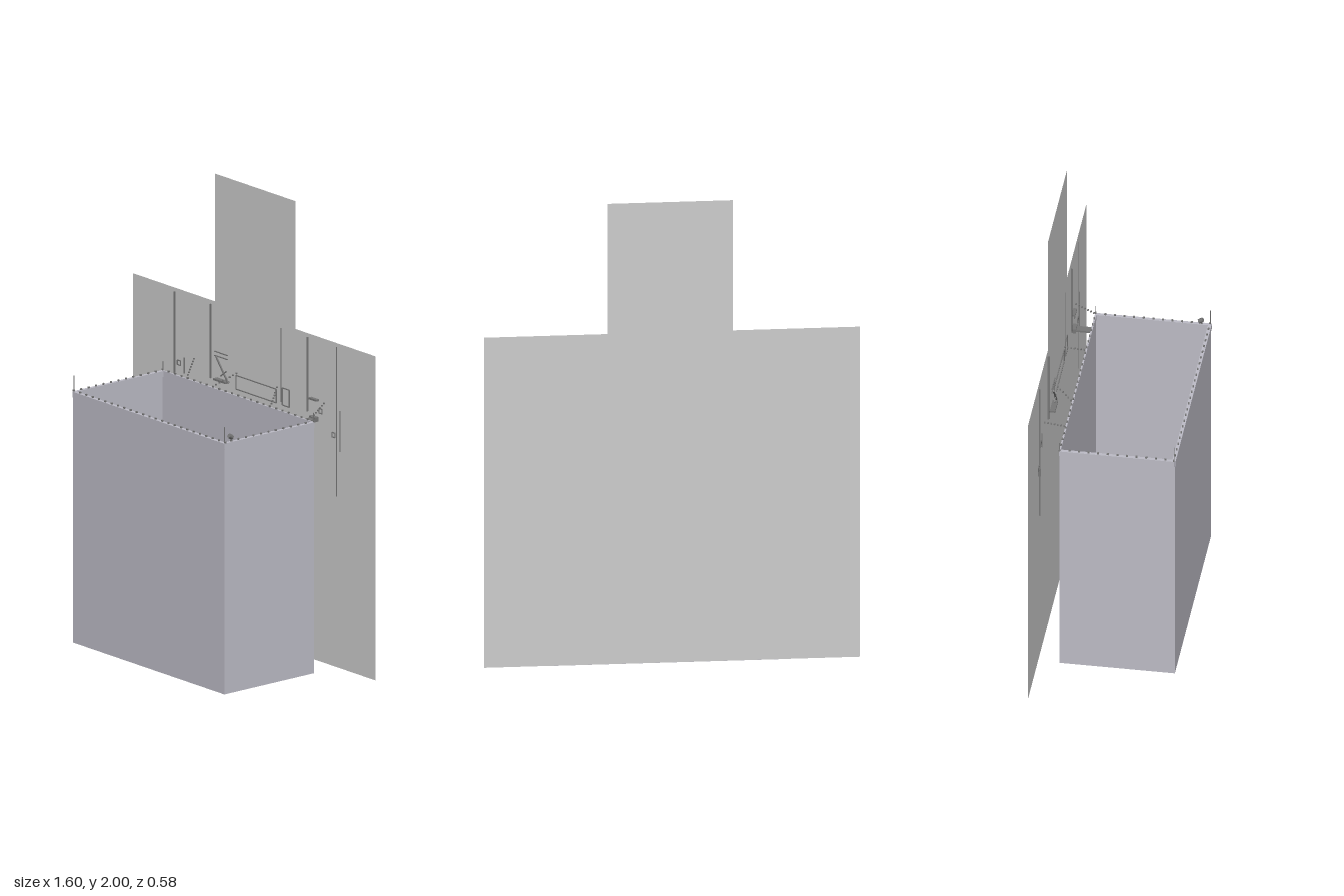
import * as THREE from 'three';

const X0 = -0.5, X1 = 0.495, Z0 = -0.203, Z1 = 0.287, PANEL_Z = -0.29;

export function createModel() {
  const model = new THREE.Group();
  const grey = new THREE.MeshStandardMaterial({ color: 0xcccccc, side: THREE.DoubleSide });
  const stone = new THREE.MeshStandardMaterial({ color: 0xbdbcc6, side: THREE.DoubleSide });
  const dark = new THREE.MeshStandardMaterial({ color: 0x777777 });

  const add = (name, geometry, material, x = 0, y = 0, z = 0) => {
    const mesh = new THREE.Mesh(geometry, material);
    mesh.name = name;
    mesh.position.set(x, y, z);
    model.add(mesh);
    return mesh;
  };
  // Box given by its two opposite corners
  const block = (name, x0, x1, y0, y1, z0, z1, material = dark) =>
    add(name, new THREE.BoxGeometry(x1 - x0, y1 - y0, z1 - z0), material,
      (x0 + x1) / 2, (y0 + y1) / 2, (z0 + z1) / 2);
  // Thin square bar between two points
  const bar = (name, a, b, t = 0.004) => {
    const from = new THREE.Vector3(...a), to = new THREE.Vector3(...b);
    const mesh = add(name, new THREE.BoxGeometry(t, t, from.distanceTo(to)), dark);
    mesh.position.copy(from).lerp(to, 0.5);
    mesh.lookAt(to);
  };
  // Upright rectangular outline
  const frame = (name, x0, x1, y0, y1, z) => {
    [[x0, y0, x1, y0], [x0, y1, x1, y1], [x0, y0, x0, y1], [x1, y0, x1, y1]]
      .forEach(([a, b, c, d]) => bar(name, [a, b, z], [c, d, z]));
  };

  // Flat stepped backdrop panel
  const outline = [[-0.8, 0.02], [0.795, 0.02], [0.795, 1.44], [0.27, 1.44],
    [0.27, 2], [-0.26, 2], [-0.26, 1.44], [-0.8, 1.44]].map(p => new THREE.Vector2(...p));
  add('backPanel', new THREE.ShapeGeometry(new THREE.Shape(outline)), grey, 0, 0, PANEL_Z);

  // Tower: four thin walls, open above and below
  const H = 1.08, w = X1 - X0, d = Z1 - Z0, cx = (X0 + X1) / 2, cz = (Z0 + Z1) / 2;
  for (const side of [1, -1]) {
    const wide = add(side > 0 ? 'frontWall' : 'backWall', new THREE.PlaneGeometry(w, H), stone,
      cx, H / 2, cz + side * d / 2);
    wide.rotation.y = side > 0 ? 0 : Math.PI;
    const end = add(side > 0 ? 'leftWall' : 'rightWall', new THREE.PlaneGeometry(d, H), stone,
      cx + side * w / 2, H / 2, cz);
    end.rotation.y = side * Math.PI / 2;
  }

  // Rim around the open top
  const t = 0.012;
  block('frontRim', X0, X1, 1.075, 1.1, Z1 - t, Z1 + 0.003, stone);
  block('backRim', X0, X1, 1.075, 1.1, Z0 - 0.003, Z0 + 0.004, stone);
  block('rightRim', X0 - 0.003, X0 + t, 1.075, 1.1, Z0, Z1, stone);
  block('leftRim', X1 - t, X1 + 0.003, 1.075, 1.1, Z0, Z1, stone);

  // Low studs along the rim and tall corner pins
  for (let i = 0; i <= 24; i++) {
    const x = X0 + w * i / 24;
    for (const z of [Z0, Z1 - 0.005]) block('rimStud', x - 0.004, x + 0.004, 1.1, 1.107, z - 0.003, z + 0.003);
  }
  for (let i = 1; i < 12; i++) {
    const z = Z0 + d * i / 12;
    for (const x of [X0 + 0.005, X1 - 0.005]) block('rimStud', x - 0.003, x + 0.003, 1.1, 1.107, z - 0.004, z + 0.004);
  }
  for (const x of [X0 + 0.003, X1 - 0.003])
    for (const z of [Z0, Z1 - 0.003]) bar('cornerPin', [x, 1.1, z], [x, z > 0 ? 1.17 : 1.14, z], 0.003);
  const knob = add('rimKnob', new THREE.CylinderGeometry(0.01, 0.01, 0.02, 8), dark, 0.485, 1.12, 0.245);
  knob.rotation.x = Math.PI / 3;

  // Thin vertical rods close to the panel
  const zr = PANEL_Z + 0.006;
  [[-0.518, 0.77, 0.006], [-0.282, 1.1, 0.006], [0.18, 1.1, 0.002], [0.353, 1.1, 0.006], [0.545, 0.77, 0.002]]
    .forEach(([x, y, s]) => bar('rod', [x, y, zr], [x, 1.425, zr], s));
  bar('shortRod', [0.568, 0.97, zr], [0.568, 1.15, zr], 0.003);
  bar('shortRod', [-0.455, 1.08, zr], [-0.455, 1.15, zr], 0.004);
  block('sideBar', -0.542, -0.534, 0.99, 1.03, zr - 0.003, zr + 0.008);

  // Outlined fittings
  frame('longFrame', -0.115, 0.15, 1.09, 1.15, zr);
  frame('smallFrame', 0.188, 0.235, 1.09, 1.165, zr);
  for (const x of [-0.55, 0.525]) frame('sideFrame', x - 0.01, x + 0.01, 1.025, 1.045, zr);
  for (const x of [-0.49, 0.44]) frame('topFrame', x - 0.01, x + 0.01, 1.11, 1.13, zr);
  block('ledge', 0.375, 0.425, 1.16, 1.168, zr - 0.004, zr + 0.012);

  // Small crane-like bracket
  bar('bracketArm', [-0.23, 1.21, -0.27], [-0.15, 1.11, -0.27], 0.006);
  bar('bracketBrace', [-0.2, 1.13, -0.27], [-0.16, 1.16, -0.27]);
  for (const y of [1.21, 1.228]) bar('bracketRail', [-0.245, y, -0.275], [-0.16, y, -0.275]);
  block('bracketFoot', -0.24, -0.16, 1.105, 1.113, -0.285, -0.262);

  // Connecting beam and dotted links from tower to panel
  block('connectingBeam', 0.385, 0.418, 1.075, 1.083, PANEL_Z + 0.002, Z0);
  block('beamPlate', 0.38, 0.422, 1.07, 1.09, PANEL_Z + 0.002, -0.27);
  for (const [xa, xb] of [[-0.39, -0.34], [-0.11, -0.155], [0.155, 0.21], [0.465, 0.475]])
    for (let i = 0; i < 7; i++) {
      const f = i / 6, x = xa + (xb - xa) * f, y = 1.16 - 0.045 * f, z = -0.283 + 0.075 * f;
      block('link', x - 0.003, x + 0.003, y - 0.003, y + 0.003, z - 0.003, z + 0.003);
    }
  return model;
}
